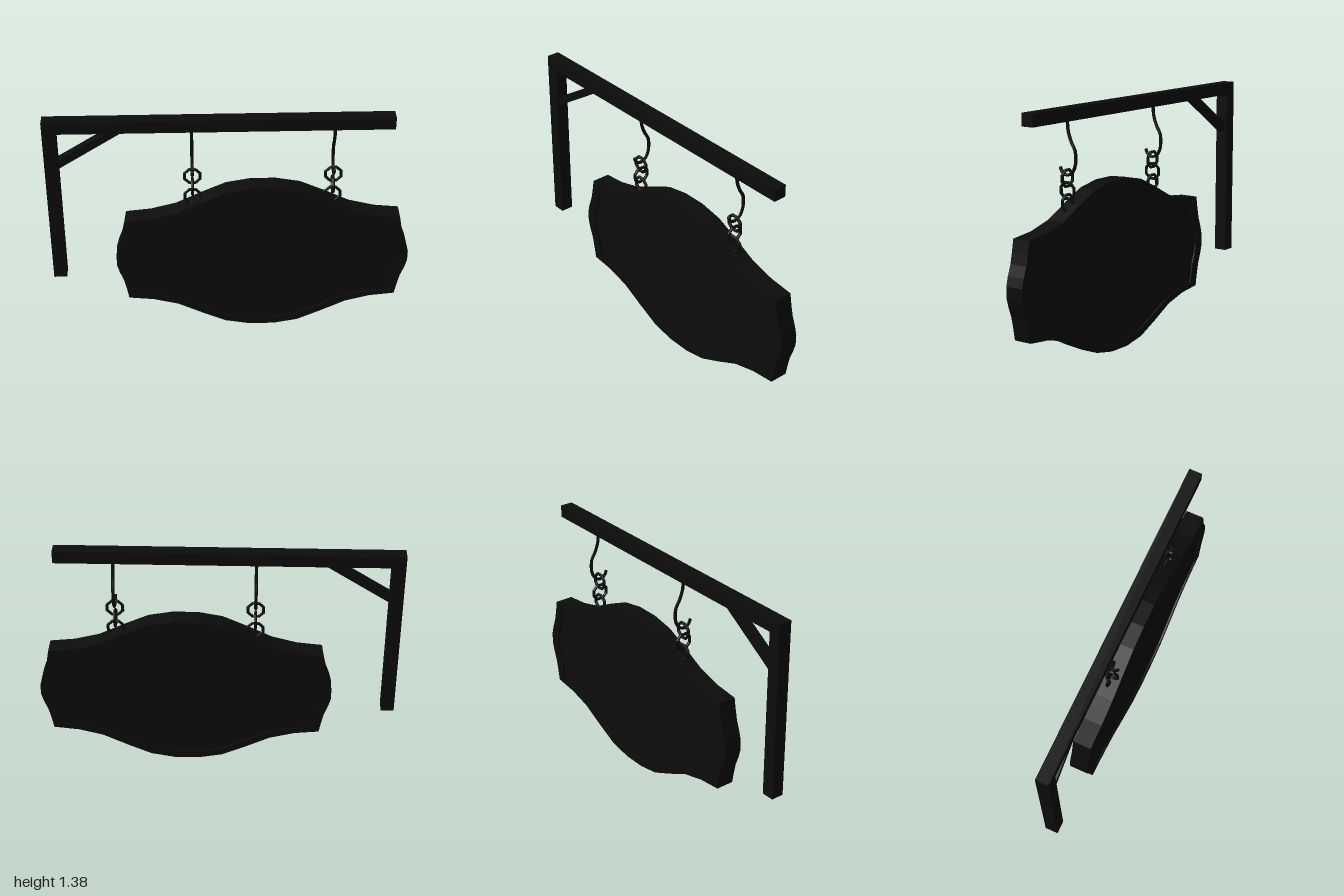
import * as THREE from 'three';

const dark = new THREE.MeshStandardMaterial({ color: 0x0c0c0c, flatShading: true });
const MID_Z = 0.005;

function add(parent, name, geometry, x = 0, y = 0, z = 0) {
  const mesh = new THREE.Mesh(geometry, dark);
  mesh.name = name;
  mesh.position.set(x, y, z);
  parent.add(mesh);
  return mesh;
}

// Solid extrusion centred on z = 0
function slab(shape, depth) {
  const g = new THREE.ExtrudeGeometry(shape, { depth, bevelEnabled: false });
  return g.translate(0, 0, -depth / 2);
}

// Upper right quarter of the board outline, mirrored into all four
const quarter = [
  [0.82, 0.03], [0.807, 0.08], [0.785, 0.14], [0.772, 0.2], [0.76, 0.268],
  [0.62, 0.283], [0.48, 0.32], [0.34, 0.39], [0.205, 0.452], [0.07, 0.477],
];
function outline(insetX = 0, insetY = 0) {
  const sx = 1 - insetX / 0.82, sy = 1 - insetY / 0.477;
  const q = quarter.map(([x, y]) => new THREE.Vector2(x * sx, y * sy));
  const flip = (list, fx, fy) => list.map((p) => new THREE.Vector2(p.x * fx, p.y * fy));
  const r = [...q].reverse();
  return [...q, ...flip(r, -1, 1), ...flip(q, -1, -1), ...flip(r, 1, -1)];
}

function makeBoard() {
  const board = new THREE.Group();
  board.name = 'signBoard';
  // Raised rim on both faces around a slightly sunken panel
  const rim = new THREE.Shape(outline());
  rim.holes.push(new THREE.Path(outline(0.06, 0.04)));
  add(board, 'boardRim', slab(rim, 0.105));
  add(board, 'boardPanel', slab(new THREE.Shape(outline(0.058, 0.038)), 0.085));
  board.position.set(0.18, 0.479, MID_Z);
  return board;
}

function makeHanger(x) {
  const hanger = new THREE.Group();
  hanger.name = 'hanger';
  // Hook bows to the back and turns up at the front
  const path = new THREE.CatmullRomCurve3([
    [1.33, 0.003], [1.26, -0.003], [1.2, -0.025], [1.165, -0.046], [1.12, -0.052],
    [1.075, -0.046], [1.04, -0.025], [1.027, 0.005], [1.035, 0.035], [1.068, 0.052],
  ].map(([y, z]) => new THREE.Vector3(0, y, z)));
  add(hanger, 'hook', new THREE.TubeGeometry(path, 18, 0.009, 6));
  for (const [t, flip] of [[0, 1], [1, -1]]) {
    const cap = add(hanger, 'hookEnd', new THREE.CircleGeometry(0.009, 6));
    cap.position.copy(path.getPoint(t));
    cap.lookAt(cap.position.clone().addScaledVector(path.getTangent(t), -flip));
  }
  // Octagonal chain links, alternate ones turned sideways
  [1.012, 0.945, 0.88].forEach((y, i) => {
    const link = new THREE.TorusGeometry(0.046, 0.009, 6, 8).rotateZ(Math.PI / 8);
    if (i === 1) link.rotateY(Math.PI / 2);
    add(hanger, 'chainLink', link, 0, y, MID_Z);
  });
  hanger.position.x = x;
  return hanger;
}

export function createModel() {
  const model = new THREE.Group();
  model.name = 'hangingSign';

  // Bracket: post, beam and diagonal brace
  add(model, 'post', new THREE.BoxGeometry(0.073, 0.955, 0.073), -0.9635, 0.8375, MID_Z);
  add(model, 'beam', new THREE.BoxGeometry(1.88, 0.07, 0.073), -0.06, 1.35, MID_Z);
  const brace = new THREE.Shape([
    [-0.935, 1.083], [-0.57, 1.318], [-0.65, 1.318], [-0.935, 1.136],
  ].map(([x, y]) => new THREE.Vector2(x, y)));
  add(model, 'brace', slab(brace, 0.05), 0, 0, MID_Z);

  for (const x of [-0.207, 0.562]) model.add(makeHanger(x));
  model.add(makeBoard());
  return model;
}
